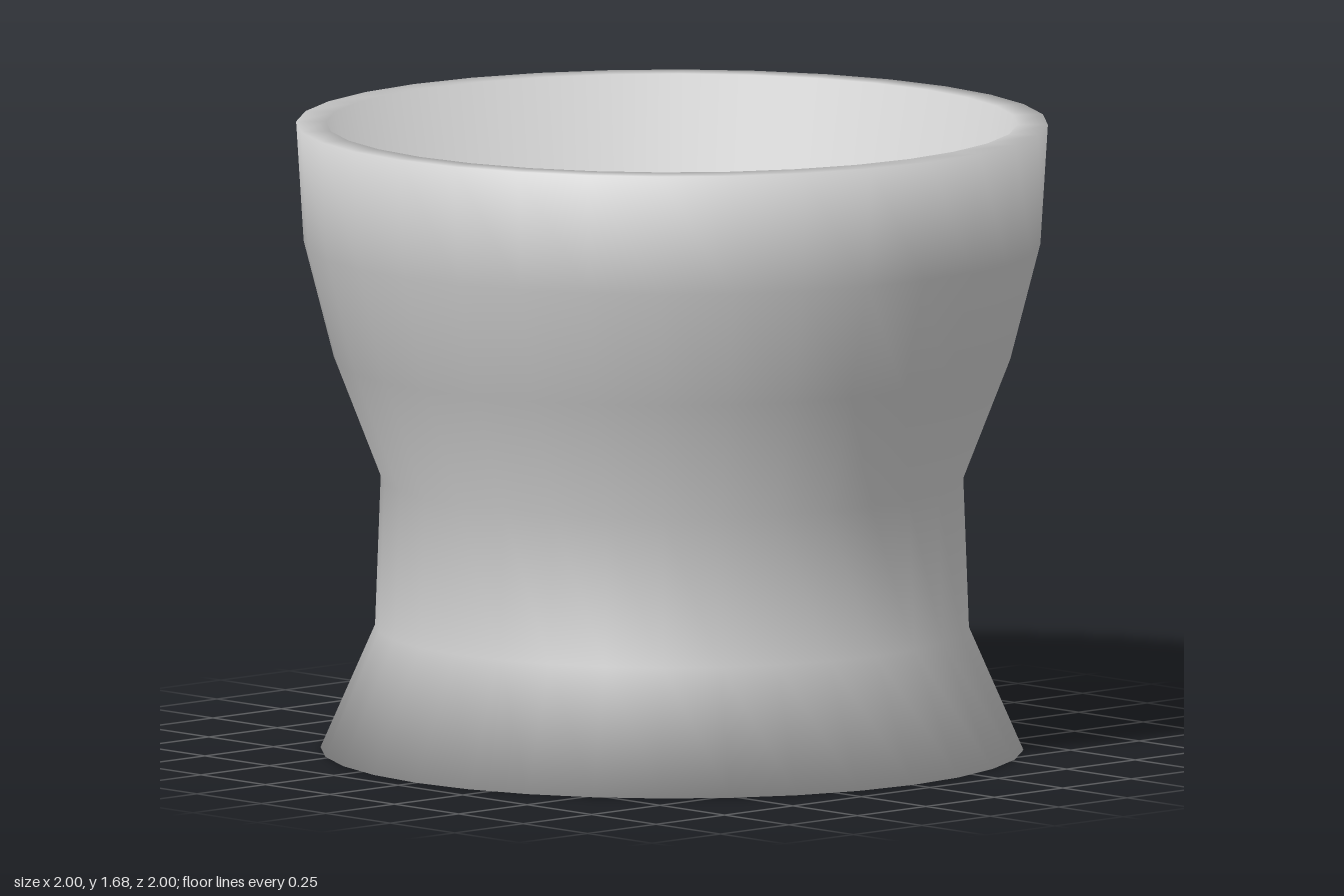
import * as THREE from 'three';

const SIDES = 32;

// Turns a list of [radius, height] pairs around the y axis. Each ring's normal
// is the even average of the two profile segments that meet there.
function turned(name, profile, material) {
  const points = profile.map(([r, y]) => new THREE.Vector2(r, y));
  const geometry = new THREE.LatheGeometry(points, SIDES);

  const facing = points.slice(1).map((p, i) => {
    const d = p.clone().sub(points[i]).normalize();
    return new THREE.Vector2(d.y, -d.x);
  });
  const normals = points.map((_, i) => {
    const before = facing[Math.max(i - 1, 0)];
    const after = facing[Math.min(i, facing.length - 1)];
    return before.clone().add(after).normalize();
  });

  for (let i = 0; i <= SIDES; i++) {
    const angle = (i / SIDES) * Math.PI * 2;
    normals.forEach((n, j) => {
      geometry.attributes.normal.setXYZ(
        i * points.length + j, n.x * Math.sin(angle), n.y, n.x * Math.cos(angle));
    });
  }

  const mesh = new THREE.Mesh(geometry, material);
  mesh.name = name;
  return mesh;
}

export function createModel() {
  const group = new THREE.Group();
  group.name = 'cup';
  const material = new THREE.MeshStandardMaterial({ color: 0xcccccc });

  // One smooth shell: underside, flared foot, waist, bowl, rim, tapered hollow
  group.add(turned('cupBody', [
    [0, 0],
    [0.935, 0],
    [0.79, 0.33],
    [0.775, 0.73],
    [0.9, 1.05],
    [0.98, 1.36],
    [1, 1.68],
    [0.92, 1.68],
    [0.65, 0.3],
    [0, 0.3],
  ], material));

  return group;
}
